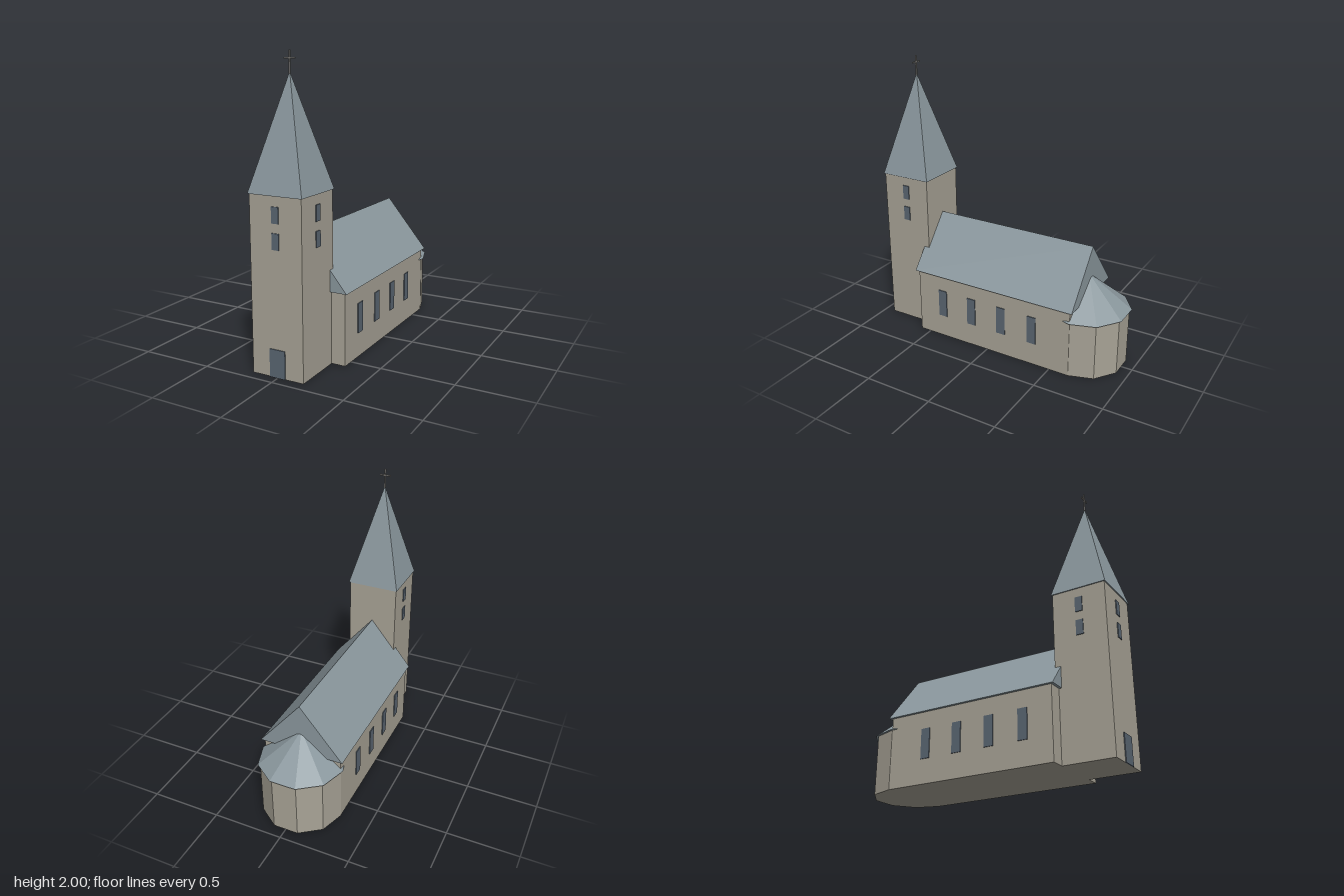
import * as THREE from 'three';

const mat = (name, color) => {
  const m = new THREE.MeshStandardMaterial({ color, flatShading: true });
  m.name = name;
  return m;
};

export function createModel() {
  const church = new THREE.Group();
  church.name = 'church';
  const wall = mat('stone wall', 0xa8a396);
  const roof = mat('slate roof', 0x8a979d);
  const glass = mat('dark opening', 0x5a6672);
  const metal = mat('cross metal', 0x858380);

  const add = (name, geometry, material, x, y, z) => {
    const mesh = new THREE.Mesh(geometry, material);
    mesh.name = name;
    mesh.position.set(x, y, z);
    church.add(mesh);
    return mesh;
  };
  // box standing on height y
  const box = (name, w, h, d, material, x, y, z) =>
    add(name, new THREE.BoxGeometry(w, h, d), material, x, y + h / 2, z);

  // Tower with a four-sided spire
  const towerZ = 0.743, towerHalf = 0.185;
  box('tower', towerHalf * 2, 1.15, towerHalf * 2, wall, 0, 0, towerZ);
  const spire = new THREE.ConeGeometry(0.193 * Math.SQRT2, 0.725, 4);
  spire.rotateY(Math.PI / 4);
  add('spire', spire, roof, 0, 1.15 + 0.3625, towerZ);

  // Cross on the spire
  box('crossPost', 0.009, 0.14, 0.009, metal, 0, 1.86, towerZ);
  box('crossBar', 0.08, 0.009, 0.009, metal, 0, 1.95, towerZ);

  // Door and tower windows
  const t = 0.008;
  box('door', 0.112, 0.185, t, glass, 0, 0, towerZ + towerHalf + 0.002);
  for (const y of [0.82, 0.983]) {
    box('towerFrontWindow', 0.05, 0.103, t, glass, 0, y, towerZ + towerHalf + 0.002);
    for (const s of [-1, 1])
      box('towerSideWindow', t, 0.103, 0.05, glass, s * (towerHalf + 0.002), y, towerZ);
  }

  // Nave with side windows
  const naveBack = -0.647, naveFront = 0.58;
  box('nave', 0.57, 0.49, naveFront - naveBack, wall, 0, 0, (naveFront + naveBack) / 2);
  for (const z of [0.375, 0.13, -0.115, -0.36])
    for (const s of [-1, 1])
      box('naveWindow', t, 0.205, 0.067, glass, s * 0.287, 0.167, z);

  // Gabled nave roof, closed at both ends
  const gable = new THREE.Shape([
    new THREE.Vector2(-0.305, 0.49),
    new THREE.Vector2(0.305, 0.49),
    new THREE.Vector2(0, 0.86),
  ]);
  const naveRoof = new THREE.ExtrudeGeometry(gable, { depth: 1.267, bevelEnabled: false });
  add('naveRoof', naveRoof, roof, 0, 0, -0.668);

  // Ten-sided apse, half buried in the nave
  const apse = new THREE.CylinderGeometry(0.286, 0.286, 0.41, 10);
  apse.rotateY(Math.PI / 10);
  add('apse', apse, wall, 0, 0.205, naveBack);
  const apseRoof = new THREE.ConeGeometry(0.303, 0.245, 10);
  apseRoof.rotateY(Math.PI / 10);
  add('apseRoof', apseRoof, roof, 0, 0.41 + 0.1225, naveBack);

  return church;
}
